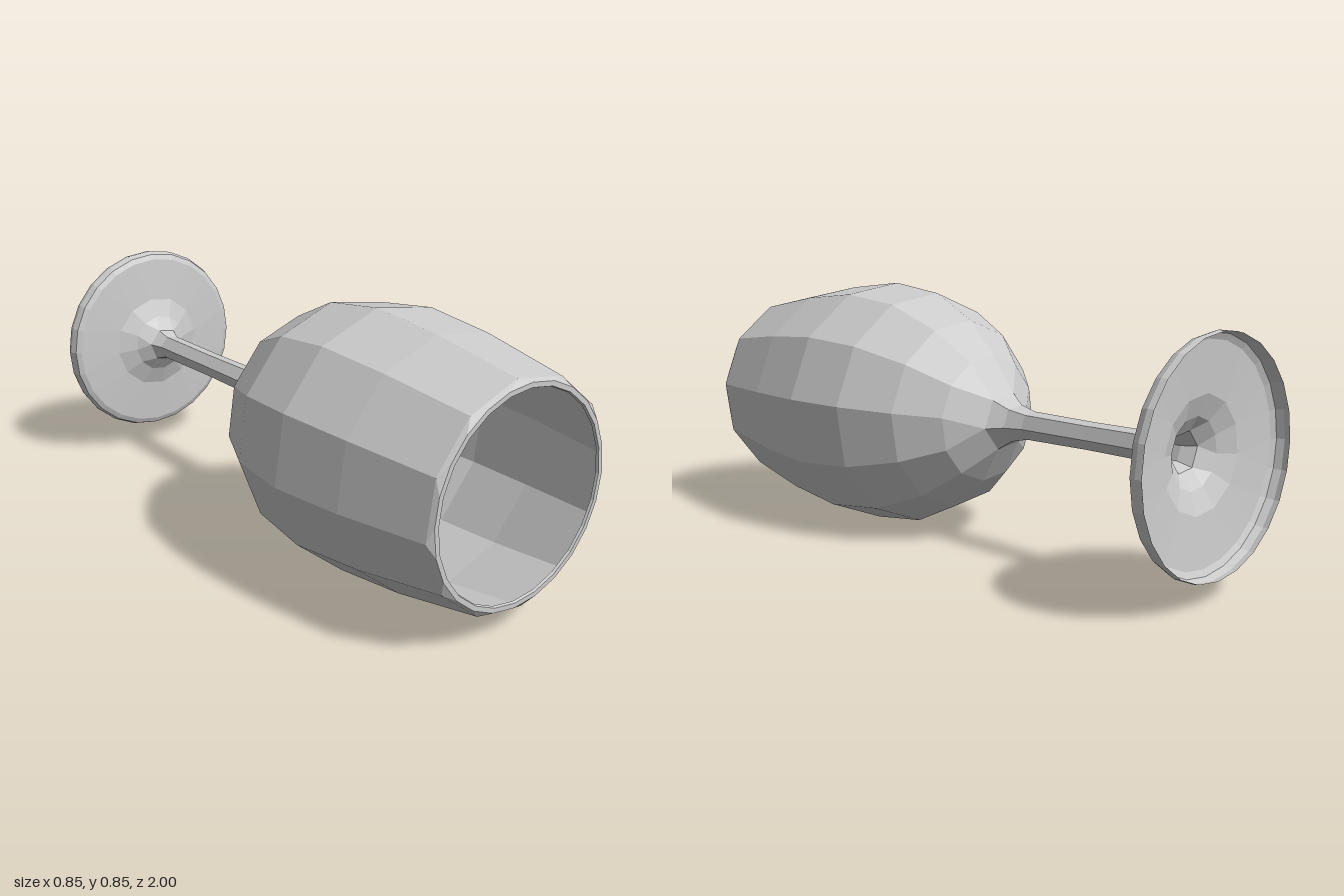
import * as THREE from 'three';

const AXIS_Y = 0.427; // height of the lying goblet's axis
const DEG = Math.PI / 180;
// First-vertex angle for each ring resolution, so coarser rings sit midway between finer corners
const OFFSET = { 6: -8.5, 12: 6.5, 24: -1 };

const material = new THREE.MeshStandardMaterial({
  color: 0xcccccc, flatShading: true, side: THREE.DoubleSide,
});

// Joins two rings [z, radius, sides], walking round both by angle
function stitch(a, b, out) {
  const angle = ([, , n], i) => OFFSET[n] + (360 / n) * i;
  const point = (ring, i) => {
    const t = angle(ring, i) * DEG;
    return [ring[1] * Math.cos(t), ring[1] * Math.sin(t), ring[0]];
  };
  let i = 0, j = 0;
  while (i < a[2] || j < b[2]) {
    const stepA = j >= b[2] ||
      (i < a[2] && angle(a, i) + angle(a, i + 1) <= angle(b, j) + angle(b, j + 1));
    if (stepA) {
      out.push(...point(a, i), ...point(b, j), ...point(a, i + 1));
      i++;
    } else {
      out.push(...point(a, i), ...point(b, j), ...point(b, j + 1));
      j++;
    }
  }
}

// Skin through a list of rings running from front to back
function skin(name, rings) {
  const positions = [];
  for (let k = 0; k < rings.length - 1; k++) stitch(rings[k], rings[k + 1], positions);
  const geometry = new THREE.BufferGeometry();
  geometry.setAttribute('position', new THREE.Float32BufferAttribute(positions, 3));
  geometry.computeVertexNormals();
  const mesh = new THREE.Mesh(geometry, material);
  mesh.name = name;
  return mesh;
}

export function createModel() {
  const group = new THREE.Group();
  group.name = 'goblet';

  // Rings shared by neighbouring parts
  const bowlTop = [0.985, 0.35, 12];
  const bowlBase = [-0.165, 0.096, 6];
  const stemEnd = [-0.83, 0.046, 6];

  // Narrow lip turned inward at the mouth
  const rim = skin('rim', [[0.992, 0.315, 24], [1, 0.318, 24], [1, 0.333, 24], bowlTop]);

  // Thin faceted bowl, open at the mouth
  const bowl = skin('bowl', [
    bowlTop, [0.69, 0.404, 12], [0.44, 0.43, 12], [0.22, 0.402, 12],
    [0.04, 0.318, 12], [-0.085, 0.21, 12], bowlBase,
  ]);

  // Hollow hexagonal stem
  const stem = skin('stem', [
    bowlBase, [-0.215, 0.062, 6], [-0.28, 0.047, 6], [-0.53, 0.044, 6], stemEnd,
  ]);

  // Flared foot with a rounded edge, hollow underneath
  const foot = skin('foot', [
    stemEnd, [-0.875, 0.064, 6], [-0.91, 0.108, 12], [-0.936, 0.175, 12],
    [-0.948, 0.328, 24], [-0.957, 0.347, 24], [-0.98, 0.355, 24], [-1, 0.352, 24],
  ]);

  group.add(rim, bowl, stem, foot);
  for (const part of group.children) part.position.y = AXIS_Y;
  return group;
}
